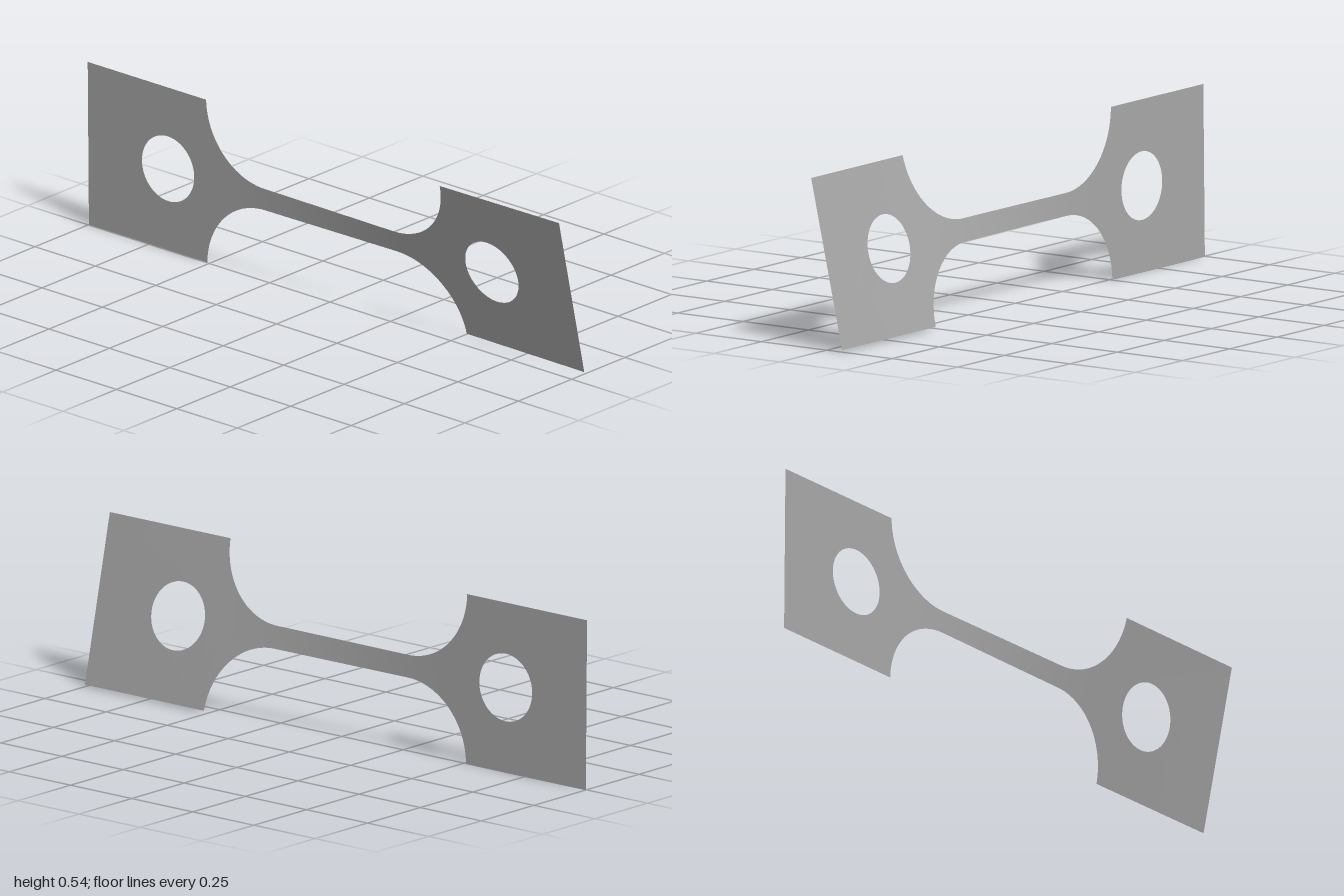
import * as THREE from 'three';
import { mergeGeometries, mergeVertices } from 'three/addons/utils/BufferGeometryUtils.js';

const CENTRE_Y = 0.2715;          // height of the long axis
const HALF = 0.2715;              // half height of the end tabs
const FILLET = { x: 0.27, y: 0.276, r: 0.24 };
const TAB_X = FILLET.x + Math.sqrt(FILLET.r ** 2 - (FILLET.y - HALF) ** 2);

// Twist angle in degrees about the long axis
function twist(x) {
  if (x < -TAB_X) return 0.6;
  if (x > TAB_X) return 13.5 - 0.9 * (x - TAB_X) / (1 - TAB_X);
  return THREE.MathUtils.lerp(0.6, 13.5, THREE.MathUtils.smoothstep(x, -TAB_X, TAB_X));
}

// Square end tab with a round bolt hole
function tab(side) {
  const a = side < 0 ? -1 : TAB_X, b = side < 0 ? -TAB_X : 1;
  const shape = new THREE.Shape();
  shape.moveTo(a, -HALF).lineTo(b, -HALF).lineTo(b, HALF).lineTo(a, HALF).closePath();
  const hole = new THREE.Path();
  hole.absarc(side * 0.67, 0, 0.108, 0, Math.PI * 2, true);
  shape.holes.push(hole);
  const g = new THREE.ShapeGeometry(shape, 48);
  g.deleteAttribute('normal');
  g.deleteAttribute('uv');
  return g;
}

// Narrow neck with a concave fillet at each end, built from columns
function neck() {
  const half = [];
  const end = Math.acos((TAB_X - FILLET.x) / FILLET.r);
  for (let i = 0; i <= 24; i++) {
    const t = THREE.MathUtils.lerp(end, Math.PI / 2, i / 24);
    half.push([FILLET.x + FILLET.r * Math.cos(t), FILLET.y - FILLET.r * Math.sin(t)]);
  }
  const h = half[24][1];
  const columns = half.map(([x, y]) => [-x, y]);
  for (let i = 1; i < 24; i++) columns.push([FILLET.x * (i / 12 - 1), h]);
  columns.push(...half.reverse());

  const pos = [], index = [];
  columns.forEach(([x, y], i) => {
    pos.push(x, -y, 0, x, y, 0);
    if (i) {
      const k = i * 2;
      index.push(k - 2, k, k + 1, k - 2, k + 1, k - 1);
    }
  });
  const g = new THREE.BufferGeometry();
  g.setAttribute('position', new THREE.Float32BufferAttribute(pos, 3));
  g.setIndex(index);
  return g;
}

export function createModel() {
  const steel = new THREE.MeshStandardMaterial({ color: 0xa8a8a8, side: THREE.DoubleSide });
  steel.name = 'grey steel';

  // Join the flat pieces, then twist the sheet along its length
  const sheet = mergeVertices(mergeGeometries([tab(-1), neck(), tab(1)]), 1e-4);
  const p = sheet.attributes.position;
  for (let i = 0; i < p.count; i++) {
    const a = THREE.MathUtils.degToRad(twist(p.getX(i)));
    const v = p.getY(i);
    p.setXYZ(i, p.getX(i), CENTRE_Y + v * Math.cos(a), v * Math.sin(a));
  }
  sheet.computeVertexNormals();

  const plate = new THREE.Mesh(sheet, steel);
  plate.name = 'twistedPlate';
  const model = new THREE.Group();
  model.name = 'twistedLinkPlate';
  model.add(plate);
  return model;
}
